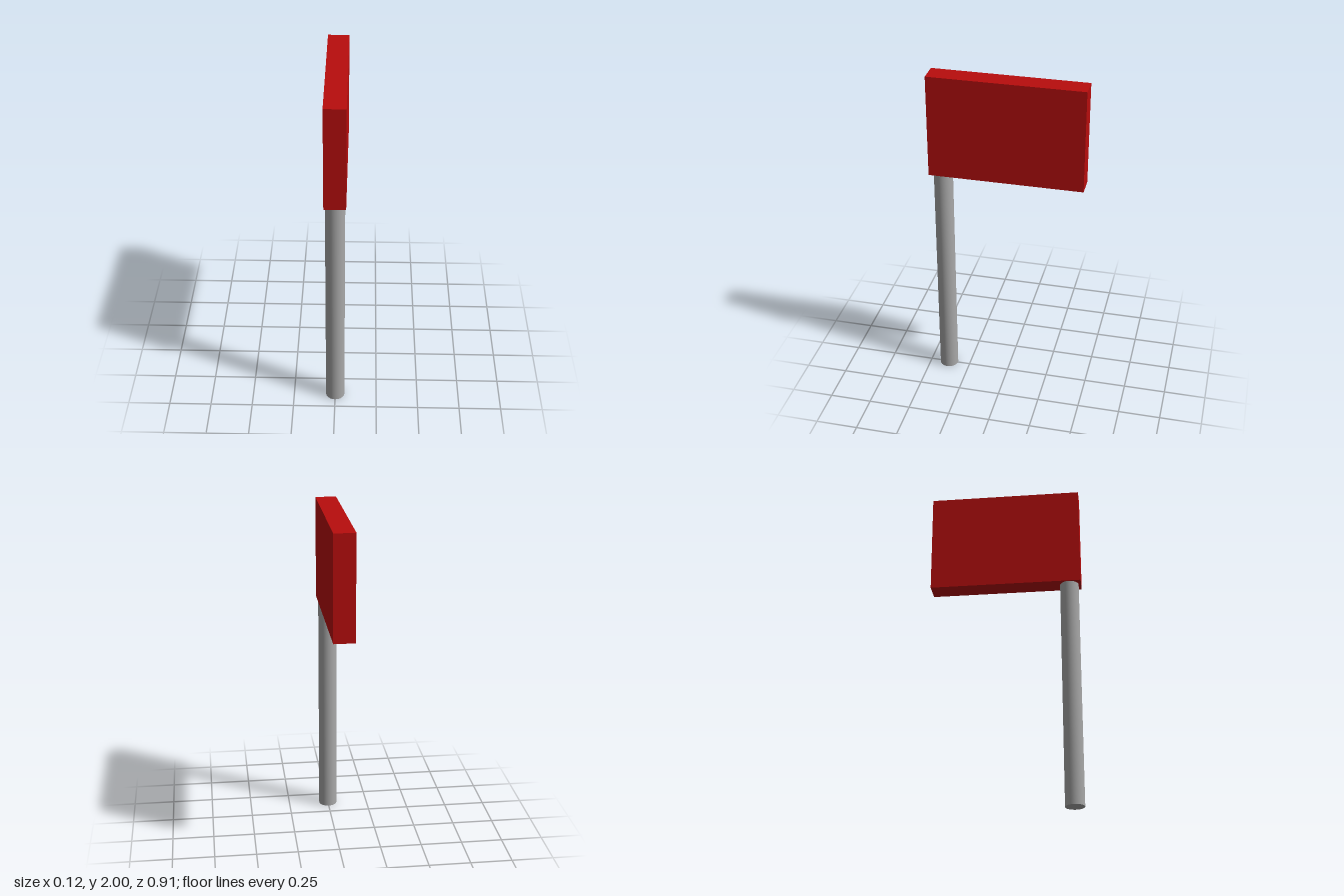
import * as THREE from 'three';

export function createModel() {
  const group = new THREE.Group();
  const red = new THREE.MeshStandardMaterial({ color: 0xb80d0d });
  red.name = 'red';
  const grey = new THREE.MeshStandardMaterial({ color: 0xa8a8a8 });
  grey.name = 'grey';

  const bottom = 1.385; // underside of the panel
  const poleRadius = 0.056;

  // Rectangular panel on top
  const panel = new THREE.Mesh(new THREE.BoxGeometry(0.124, 2 - bottom, 0.908), red);
  panel.name = 'panel';
  panel.position.y = (2 + bottom) / 2;

  // Round pole under the front end of the panel
  const pole = new THREE.Mesh(new THREE.CylinderGeometry(poleRadius, poleRadius, bottom, 32), grey);
  pole.name = 'pole';
  pole.position.set(0, bottom / 2, 0.383);

  group.add(panel, pole);
  return group;
}
